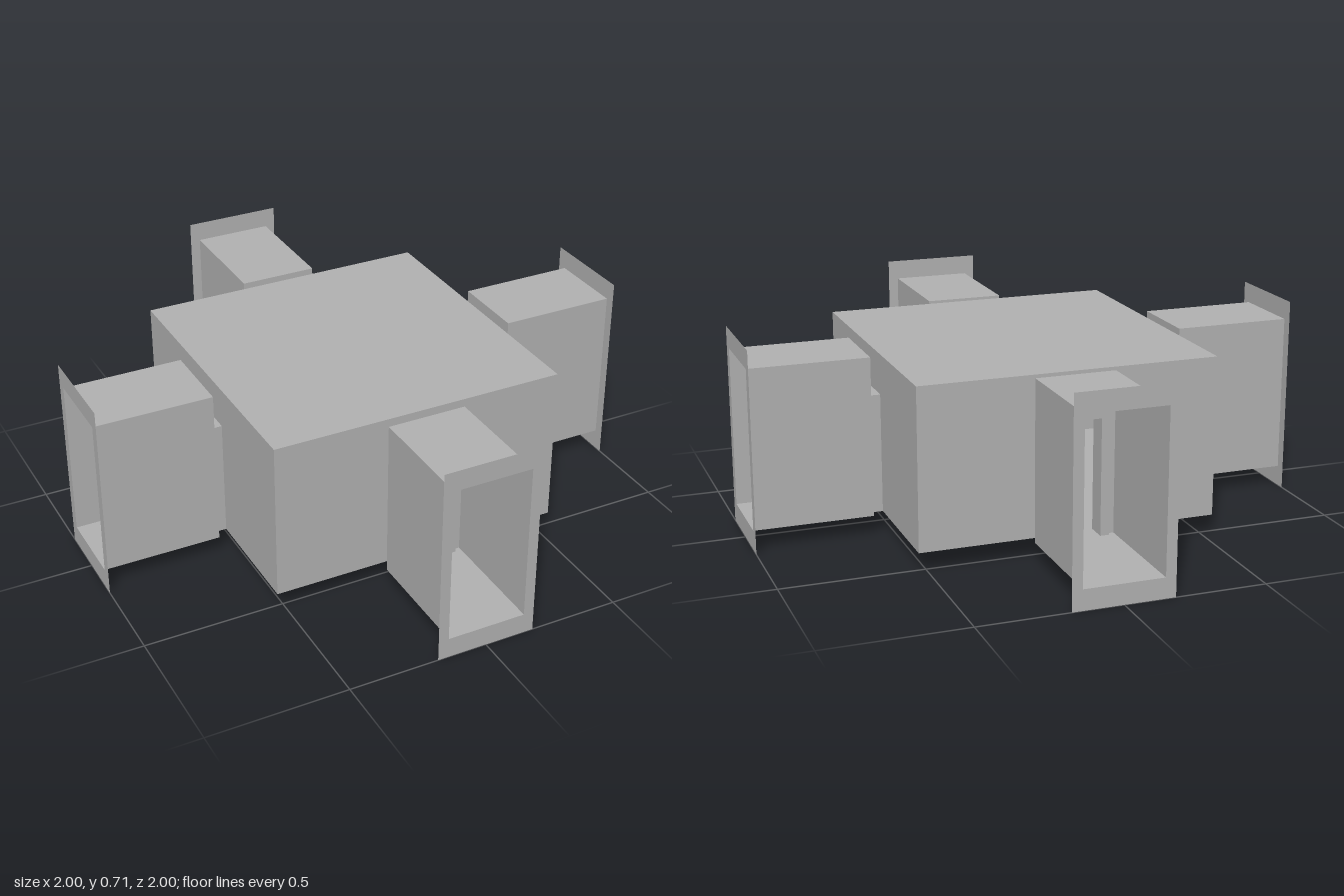
import * as THREE from 'three';

const grey = new THREE.MeshStandardMaterial({ color: 0xb2b2b2, side: THREE.DoubleSide });
grey.name = 'plain grey';

// Main levels and distances
const FLOOR = 0.073, ROOF = 0.643, ROOM = 0.533, INNER = 0.575, END = 1;

function add(parent, name, geometry, x = 0, y = 0, z = 0) {
  const mesh = new THREE.Mesh(geometry, grey);
  mesh.name = name;
  mesh.position.set(x, y, z);
  parent.add(mesh);
  return mesh;
}

function path(target, points) {
  points.forEach(([x, y], i) => (i ? target.lineTo(x, y) : target.moveTo(x, y)));
  target.closePath();
  return target;
}

// Wall in the xy plane with a doorway cut up from its bottom edge
function doorShape(half, top, doorHalf, doorTop) {
  return path(new THREE.Shape(), [
    [-half, FLOOR], [-doorHalf, FLOOR], [-doorHalf, doorTop], [doorHalf, doorTop],
    [doorHalf, FLOOR], [half, FLOOR], [half, top], [-half, top],
  ]);
}

// Rectangular sleeve along z, open at both ends
function sleeve(parent, name, half, top, z0, z1) {
  const len = z1 - z0, mid = (z0 + z1) / 2, h = top - FLOOR;
  for (const [part, y, turn] of [['Floor', FLOOR, 1], ['Roof', top, -1]]) {
    add(parent, name + part, new THREE.PlaneGeometry(half * 2, len).rotateX(turn * Math.PI / 2), 0, y, mid);
  }
  for (const s of [-1, 1]) {
    add(parent, name + (s > 0 ? 'LeftWall' : 'RightWall'),
      new THREE.PlaneGeometry(len, h).rotateY(s * Math.PI / 2), s * half, FLOOR + h / 2, mid);
  }
}

function createArm() {
  const arm = new THREE.Group();

  // Room wall and corridor end wall, each with a doorway
  add(arm, 'roomWall', new THREE.ShapeGeometry(doorShape(ROOM, ROOF, 0.105, 0.498)), 0, 0, ROOM);
  add(arm, 'corridorEndWall', new THREE.ShapeGeometry(doorShape(0.142, ROOF, 0.105, 0.498)), 0, 0, INNER);

  // Corridor and the short neck that joins it to the room
  sleeve(arm, 'corridor', 0.142, ROOF, INNER, END);
  sleeve(arm, 'neck', 0.105, 0.498, ROOM, INNER);

  // Door trim on the inner faces of both walls, with a lining between
  const trim = doorShape(0.12, 0.513, 0.088, 0.487);
  for (const [name, z] of [['roomDoorTrim', ROOM - 0.015], ['corridorDoorTrim', INNER]]) {
    add(arm, name, new THREE.ExtrudeGeometry(trim, { depth: 0.015, bevelEnabled: false }), 0, 0, z);
  }
  const lining = doorShape(0.104, 0.497, 0.088, 0.487);
  add(arm, 'doorLining', new THREE.ExtrudeGeometry(lining, { depth: INNER - ROOM, bevelEnabled: false }), 0, 0, ROOM);

  // Flat flange around the open outer end
  const flange = path(new THREE.Shape(), [[-0.179, 0], [0.179, 0], [0.179, 0.715], [-0.179, 0.715]]);
  flange.holes.push(path(new THREE.Path(), [[-0.142, FLOOR], [-0.142, ROOF], [0.142, ROOF], [0.142, FLOOR]]));
  add(arm, 'endFlange', new THREE.ShapeGeometry(flange), 0, 0, END);
  return arm;
}

export function createModel() {
  const model = new THREE.Group();
  model.name = 'crossShapedRoom';

  // Central room floor and roof
  const slab = new THREE.PlaneGeometry(ROOM * 2, ROOM * 2);
  add(model, 'roomFloor', slab.clone().rotateX(Math.PI / 2), 0, FLOOR, 0);
  add(model, 'roomRoof', slab.clone().rotateX(-Math.PI / 2), 0, ROOF, 0);

  // Four identical arms
  ['frontArm', 'leftArm', 'backArm', 'rightArm'].forEach((name, i) => {
    const arm = createArm();
    arm.name = name;
    arm.rotation.y = i * Math.PI / 2;
    model.add(arm);
  });
  return model;
}
